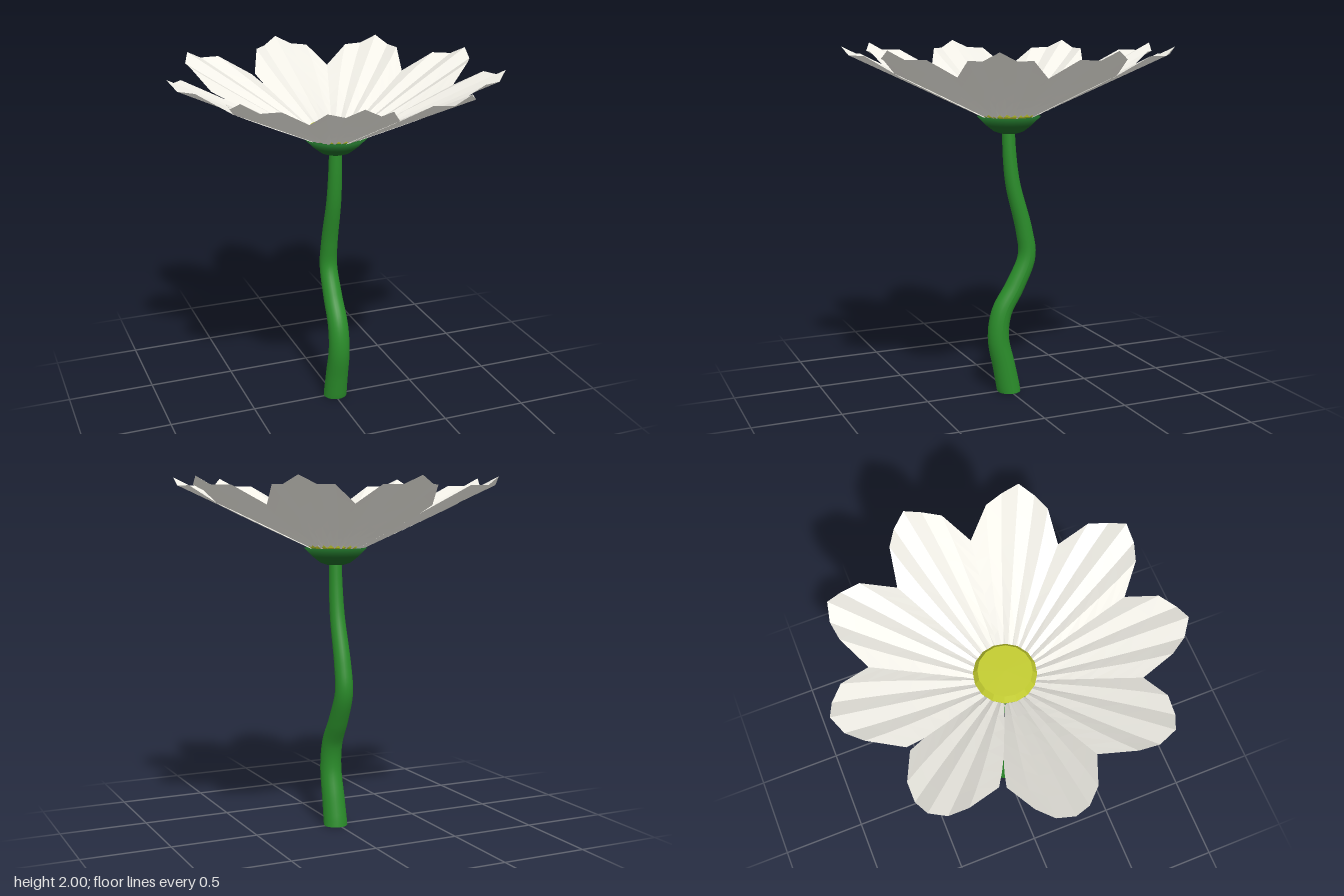
import * as THREE from 'three';

const mat = (color, extra = {}) => new THREE.MeshStandardMaterial({ color, ...extra });

// One pleated petal pointing along +x: columns run from the base to a scalloped tip.
function petalGeometry() {
  // half of the tip outline, from the middle out: [radius, sideways, height]
  const half = [[0.915, 0, 2.0], [0.88, 0.085, 1.955], [0.805, 0.16, 1.955], [0.63, 0.235, 1.85]];
  const tip = [
    ...half.slice(1).reverse().map(([r, s, y]) => [r, -s, y]),
    ...half,
  ];
  const rows = 6, cols = tip.length;
  const pos = [], index = [];
  for (let j = 0; j <= rows; j++) {
    const t = j / rows;
    for (let i = 0; i < cols; i++) {
      const [r, s, y] = tip[i];
      const baseSide = s * 0.2;
      const baseY = 1.6 + (i % 2 ? 0.006 : -0.006);
      const bulge = 1 + 0.35 * t * (1 - t);
      pos.push(
        THREE.MathUtils.lerp(0.12, r, t),
        THREE.MathUtils.lerp(baseY, y, t),
        THREE.MathUtils.lerp(baseSide, s, t) * bulge
      );
      if (j < rows && i < cols - 1) {
        const a = j * cols + i, b = a + 1, c = a + cols, d = c + 1;
        index.push(a, b, c, b, d, c);
      }
    }
  }
  const g = new THREE.BufferGeometry();
  g.setAttribute('position', new THREE.Float32BufferAttribute(pos, 3));
  g.setIndex(index);
  g.computeVertexNormals();
  return g;
}

// Curved stem, tapering upward, with a level foot.
function stemGeometry() {
  const path = new THREE.CatmullRomCurve3([
    [0, 0], [0.15, 0.03], [0.33, 0.066], [0.48, 0.045], [0.63, -0.04], [0.8, -0.112],
    [0.95, -0.095], [1.22, -0.025], [1.38, -0.005], [1.54, 0.003],
  ].map(([y, z]) => new THREE.Vector3(0.008, y, z)));
  const segments = 60, sides = 24;
  const g = new THREE.TubeGeometry(path, segments, 1, sides);
  const p = g.attributes.position, v = new THREE.Vector3();
  for (let j = 0; j <= segments; j++) {
    const centre = path.getPointAt(j / segments);
    const radius = THREE.MathUtils.lerp(0.069, 0.036, j / segments);
    for (let i = 0; i <= sides; i++) {
      const k = j * (sides + 1) + i;
      v.fromBufferAttribute(p, k).sub(centre).multiplyScalar(radius).add(centre);
      p.setXYZ(k, v.x, j === 0 ? 0 : Math.max(v.y, 0), v.z);
    }
  }
  g.computeVertexNormals();
  return g;
}

function lathe(points, sides) {
  return new THREE.LatheGeometry(points.map(([x, y]) => new THREE.Vector2(x, y)), sides);
}

export function createModel() {
  const model = new THREE.Group();
  model.name = 'flower';
  const add = (name, geometry, material, parent = model) => {
    const mesh = new THREE.Mesh(geometry, material);
    mesh.name = name;
    parent.add(mesh);
    return mesh;
  };

  // stem and its foot
  const green = mat(0x2a8c2a);
  add('stem', stemGeometry(), green);
  const foot = add('stemFoot', new THREE.CircleGeometry(0.069, 24), green);
  foot.rotation.x = Math.PI / 2;
  foot.position.x = 0.008;

  // cup under the petals
  const cup = add('cup', lathe([[0, 1.51], [0.05, 1.513], [0.085, 1.525], [0.13, 1.56], [0.178, 1.608], [0, 1.602]], 24),
    mat(0x1c6324, { side: THREE.DoubleSide }));
  cup.position.x = 0.008;

  // yellow centre
  const centre = add('centre', lathe([[0.13, 1.6], [0.16, 1.615], [0.167, 1.635], [0.143, 1.67], [0, 1.672]], 16),
    mat(0xc3cc30, { flatShading: true, side: THREE.DoubleSide }));
  centre.position.x = 0.008;

  // ring of nine petals, slightly uneven in spacing
  const petals = new THREE.Group();
  petals.name = 'petals';
  model.add(petals);
  const geometry = petalGeometry();
  const white = mat(0xf0eee6, { flatShading: true, side: THREE.DoubleSide });
  [268, 307, 347, 26, 64, 102, 140, 181, 225].forEach((angle) => {
    add('petal', geometry, white, petals).rotation.y = -THREE.MathUtils.degToRad(angle);
  });

  return model;
}
